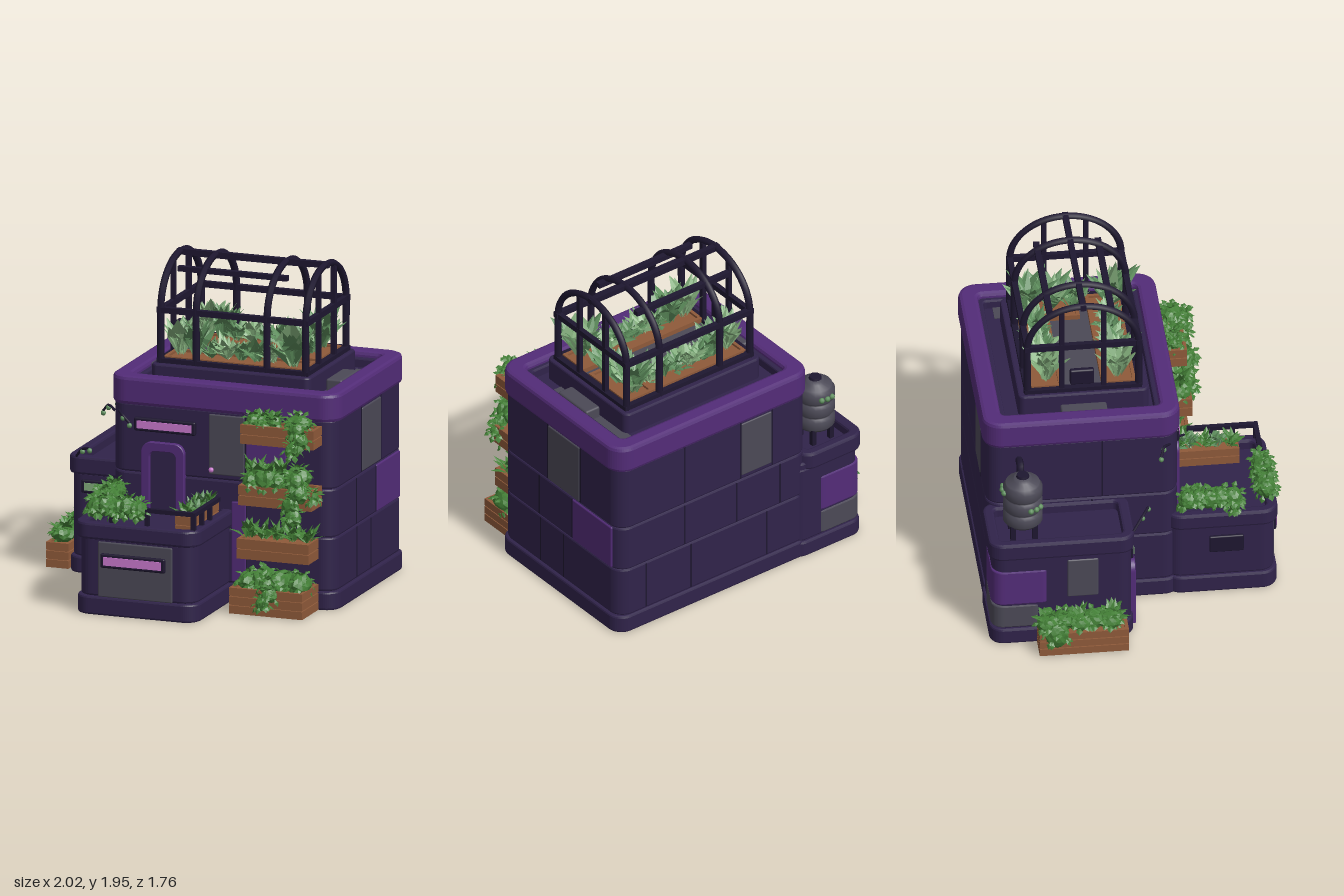
import * as THREE from 'three';
import { mergeGeometries } from 'three/addons/utils/BufferGeometryUtils.js';
import { RoundedBoxGeometry } from 'three/addons/geometries/RoundedBoxGeometry.js';

const mat = (name, color, extra = {}) => Object.assign(new THREE.MeshStandardMaterial({ color, ...extra }), { name });
const DS = { side: THREE.DoubleSide };
const wall = mat('dark violet wall', 0x30234a), trim = mat('purple trim', 0x532c78), frame = mat('ink frame', 0x1e1730);
const grey = mat('slate grey', 0x4b4956), wood = mat('planter wood', 0x8f5a3a), pink = mat('pink light', 0xcc7ad0);
const green = mat('leaf green', 0x437f36, DS), sage = mat('sage leaf', 0x5d8d5c, DS), pale = mat('pale leaf', 0x83ae7c, DS);

let seed = 7;
const rnd = (a = 0, b = 1) => { seed = (seed * 16807) % 2147483647; return a + (b - a) * seed / 2147483647; };

export function createModel() {
  const root = new THREE.Group();
  const add = (name, geo, m) => { const o = new THREE.Mesh(geo, m); o.name = name; root.add(o); return o; };

  // Box given by its limits, optionally rounded
  function box(name, m, x0, x1, y0, y1, z0, z1, r = 0) {
    const s = [x1 - x0, y1 - y0, z1 - z0];
    const g = r ? new RoundedBoxGeometry(...s, 2, r) : new THREE.BoxGeometry(...s);
    return add(name, g.translate((x0 + x1) / 2, (y0 + y1) / 2, (z0 + z1) / 2), m);
  }
  function roundRect(P, x0, x1, y0, y1, r) {
    const s = new P();
    s.moveTo(x0 + r, y0); s.lineTo(x1 - r, y0); s.absarc(x1 - r, y0 + r, r, -Math.PI / 2, 0);
    s.lineTo(x1, y1 - r); s.absarc(x1 - r, y1 - r, r, 0, Math.PI / 2);
    s.lineTo(x0 + r, y1); s.absarc(x0 + r, y1 - r, r, Math.PI / 2, Math.PI);
    s.lineTo(x0, y0 + r); s.absarc(x0 + r, y0 + r, r, Math.PI, Math.PI * 1.5);
    return s;
  }
  // Upright slab with rounded corners and bevelled rims; hole = wall width of an open ring
  function slab(name, m, x0, x1, y0, y1, z0, z1, r = 0.08, b = 0.012, hole = 0) {
    const s = roundRect(THREE.Shape, x0 + b, x1 - b, -z1 + b, -z0 - b, r);
    if (hole) s.holes.push(roundRect(THREE.Path, x0 + hole, x1 - hole, -z1 + hole, -z0 - hole, r * 0.6));
    const g = new THREE.ExtrudeGeometry(s, { depth: y1 - y0 - 2 * b, bevelThickness: b, bevelSize: b, bevelSegments: 2, curveSegments: 6 });
    return add(name, g.rotateX(-Math.PI / 2).translate(0, y0 + b, 0), m);
  }
  const tube = (name, m, pts, r) => add(name, new THREE.TubeGeometry(
    new THREE.CatmullRomCurve3(pts.map(p => new THREE.Vector3(...p))), pts.length * 5, r, 6), m);

  // ---- Main block: bevelled rows, seams and coloured panels
  slab('mainBase', wall, -0.42, 0.99, 0, 0.11, -0.86, 0.28);
  const rows = [[0.11, 0.43], [0.43, 0.72], [0.72, 1.13]];
  rows.forEach(([a, b]) => slab('mainWallRow', wall, -0.41, 0.975, a, b, -0.85, 0.27));
  slab('roofSlab', wall, -0.40, 0.97, 1.12, 1.2, -0.84, 0.26);
  slab('roofParapet', trim, -0.425, 0.995, 1.12, 1.29, -0.865, 0.285, 0.09, 0.022, 0.09);
  slab('innerCurb', wall, -0.345, 0.915, 1.15, 1.255, -0.785, 0.205, 0.06, 0.01, 0.05);
  const sideSeams = [[-0.10, -0.32], [-0.09, -0.40], [-0.17, -0.48]];
  const backSeams = [[0.78, 0.45, -0.1], [0.5, 0.12, -0.2], [0.5, 0.09, -0.14]];
  rows.forEach(([a, b], i) => {
    sideSeams[i].forEach(z => box('sideSeam', frame, 0.96, 0.977, a + 0.01, b - 0.01, z - 0.005, z + 0.005));
    backSeams[i].forEach(x => box('backSeam', frame, x - 0.005, x + 0.005, a + 0.01, b - 0.01, -0.852, -0.84));
    box('leftSeam', frame, -0.412, -0.4, a + 0.01, b - 0.01, -0.3 + i * 0.06, -0.29 + i * 0.06);
  });
  box('sideGreyPanel', grey, 0.96, 0.982, 0.73, 1.11, -0.475, -0.175, 0.009);
  box('sidePurplePanel', trim, 0.96, 0.982, 0.435, 0.715, -0.78, -0.405, 0.009);
  box('backGreyPanel', grey, -0.135, 0.085, 0.75, 1.11, -0.857, -0.84, 0.007);
  box('frontGreyPanel', grey, 0.2, 0.42, 0.75, 1.11, 0.26, 0.279, 0.008);
  box('frontPurplePanel', trim, 0.43, 0.68, 0.73, 1.0, 0.26, 0.279, 0.008);
  box('frontPurpleStrip', trim, 0.34, 0.43, 0.12, 0.6, 0.26, 0.279, 0.008);
  box('frontSeam', frame, 0.425, 0.432, 0.11, 1.11, 0.26, 0.274);

  // ---- Left annex
  slab('annexBase', wall, -0.8, -0.3, 0, 0.1, -0.87, -0.03, 0.07);
  slab('annexWall', wall, -0.785, -0.3, 0.1, 0.6, -0.855, -0.04, 0.07);
  slab('annexRoof', wall, -0.78, -0.3, 0.58, 0.64, -0.85, -0.05, 0.07);
  slab('annexParapet', wall, -0.805, -0.36, 0.59, 0.7, -0.875, -0.025, 0.07, 0.015, 0.05);
  slab('annexGreyPatch', grey, -0.792, -0.45, 0.11, 0.26, -0.862, -0.55, 0.065, 0.008);
  slab('annexPurplePatch', trim, -0.792, -0.45, 0.27, 0.5, -0.862, -0.5, 0.065, 0.008);
  box('annexSideGrey', grey, -0.792, -0.77, 0.3, 0.56, -0.42, -0.24, 0.008);

  // ---- Front annex with balcony
  slab('balconyBase', wall, -0.42, 0.34, 0, 0.11, 0.2, 0.85, 0.08);
  slab('balconyWall', wall, -0.405, 0.325, 0.11, 0.46, 0.2, 0.835, 0.08);
  slab('balconyFloor', wall, -0.4, 0.32, 0.44, 0.49, 0.2, 0.83, 0.08);
  slab('balconyParapet', wall, -0.425, 0.345, 0.45, 0.55, 0.2, 0.855, 0.08, 0.015, 0.05);
  box('balconyGreyPanel', grey, -0.27, 0.19, 0.11, 0.44, 0.82, 0.845, 0.008);
  box('leftWindowPlate', frame, -0.425, -0.4, 0.28, 0.39, 0.45, 0.65, 0.008);
  for (const z of [0.8, 0.67, 0.54]) box('railPost', frame, 0.295, 0.32, 0.54, 0.645, z - 0.012, z + 0.012);
  for (const x of [-0.2, 0.02]) box('railPost', frame, x - 0.012, x + 0.012, 0.54, 0.645, 0.788, 0.812);
  box('sideRail', frame, 0.293, 0.322, 0.63, 0.655, 0.4, 0.815);
  box('frontRail', frame, -0.22, 0.322, 0.63, 0.655, 0.787, 0.815);

  // ---- Door frames and light strips
  function door(x0, x1, y0, y1, z) {
    const w = 0.045, s = roundRect(THREE.Shape, x0, x1, y0 - 0.1, y1, 0.06);
    s.holes.push(roundRect(THREE.Path, x0 + w, x1 - w, y0 - 0.08, y1 - w, 0.04));
    const clipY = g => { const p = g.attributes.position; for (let i = 0; i < p.count; i++) p.setY(i, Math.max(p.getY(i), y0)); return g; };
    add('doorFrame', clipY(new THREE.ExtrudeGeometry(s, { depth: 0.03, bevelSize: 0.004, bevelThickness: 0.004, bevelSegments: 1 })).translate(0, 0, z), trim);
    box('doorLeaf', wall, x0 + w, x1 - w, y0, y1 - w, z, z + 0.012);
  }
  door(-0.21, 0.05, 0.48, 0.91, 0.265);
  door(-0.69, -0.43, 0.01, 0.43, -0.045);
  function strip(m, x0, x1, y0, y1, z) {
    box('lightHousing', frame, x0 - 0.02, x1 + 0.02, y0 - 0.018, y1 + 0.018, z - 0.03, z + 0.01, 0.01);
    box('lightStrip', m, x0, x1, y0, y1, z + 0.008, z + 0.016);
  }
  strip(pink, -0.24, 0.1, 0.99, 1.035, 0.283);
  strip(pink, -0.23, 0.13, 0.305, 0.355, 0.85);
  strip(pale, -0.69, -0.45, 0.5, 0.545, -0.035);
  add('doorLamp', new THREE.SphereGeometry(0.016, 8, 6).translate(0.22, 0.78, 0.29), pink);

  // ---- Water tank with ribs, pipe and hanging lights
  const prof = [[0, 0.73], [0.1, 0.73]];
  for (let i = 0; i < 3; i++) prof.push([0.1, 0.735 + i * 0.09], [0.116, 0.75 + i * 0.09], [0.116, 0.8 + i * 0.09], [0.1, 0.815 + i * 0.09]);
  prof.push([0.1, 1.01], [0.055, 1.025], [0.05, 1.045], [0, 1.045]);
  add('waterTank', new THREE.LatheGeometry(prof.map(p => new THREE.Vector2(...p)), 20).translate(-0.6, 0, -0.66), grey);
  add('tankCap', new THREE.CylinderGeometry(0.035, 0.04, 0.02, 12).translate(-0.6, 1.05, -0.66), frame);
  for (let i = 0; i < 4; i++) {
    const a = Math.PI * (i / 2 + 0.25), x = -0.6 + 0.09 * Math.cos(a), z = -0.66 + 0.09 * Math.sin(a);
    box('tankLeg', frame, x - 0.015, x + 0.015, 0.63, 0.75, z - 0.015, z + 0.015);
  }
  tube('tankPipe', frame, [[-0.5, 0.96, -0.66], [-0.47, 1.03, -0.66], [-0.4, 1.03, -0.66]], 0.022);
  for (let i = 0; i < 9; i++) {
    const a = i * 2.2;
    add('tankBead', new THREE.SphereGeometry(0.018, 8, 6).translate(-0.6 + 0.118 * Math.cos(a), 0.78 + (i % 3) * 0.09, -0.66 + 0.118 * Math.sin(a)), sage);
  }
  for (const p of [[[-0.74, 0.7, -0.03], [-0.68, 0.76, 0.03], [-0.62, 0.78, 0.07]], [[-0.4, 1.06, 0.22], [-0.46, 1.08, 0.18], [-0.5, 1.04, 0.16]], [[-0.36, 1.08, 0.27], [-0.32, 1.06, 0.31], [-0.28, 1.02, 0.31]]]) {
    tube('lampArm', frame, p, 0.008);
    for (const q of p.slice(1)) add('lampBulb', new THREE.SphereGeometry(0.016, 8, 6).translate(q[0], q[1] - 0.015, q[2]), sage);
  }

  // ---- Greenhouse on the roof
  const zc = -0.26, ry = 0.28, rz = 0.325, ys = 1.645;
  slab('greenhousePlinth', wall, -0.225, 0.765, 1.19, 1.335, -0.64, 0.12, 0.03, 0.01);
  box('greenhouseFloor', grey, -0.17, 0.71, 1.33, 1.34, -0.58, 0.06);
  [-0.18, 0.04, 0.48, 0.72].forEach((x, i) => {
    const pts = [[x, 1.33, zc + rz], [x, 1.5, zc + rz]];
    for (let k = 0; k <= 12; k++) pts.push([x, ys + ry * Math.sin(k * Math.PI / 12), zc + rz * Math.cos(k * Math.PI / 12)]);
    pts.push([x, 1.5, zc - rz], [x, 1.33, zc - rz]);
    tube('archRib', frame, pts, 0.021);
    if (i % 3 === 0) {
      for (const z of [-0.14, -0.385]) box('endMullion', frame, x - 0.014, x + 0.014, 1.33, 1.89, z - 0.014, z + 0.014);
      box('endCrossbar', frame, x - 0.015, x + 0.015, ys - 0.015, ys + 0.02, zc - rz, zc + rz);
    }
  });
  for (const [y, z] of [[1.345, zc + rz], [1.345, zc - rz], [1.65, zc + rz], [1.65, zc - rz], [1.922, zc]])
    box('longBar', frame, -0.2, 0.74, y - 0.017, y + 0.017, z - 0.017, z + 0.017);
  for (const x of [-0.18, 0.72]) box('endSill', frame, x - 0.02, x + 0.02, 1.33, 1.36, zc - rz, zc + rz);
  for (const z of [-0.45, -0.09]) box('growLamp', frame, -0.13, 0.55, 1.85, 1.88, z - 0.018, z + 0.018);
  box('endFan', frame, -0.225, -0.19, 1.4, 1.5, -0.34, -0.2, 0.01);
  box('rightVent', grey, 0.77, 0.87, 1.19, 1.275, -0.4, -0.13, 0.012);
  box('leftVent', grey, -0.32, -0.23, 1.19, 1.275, -0.4, -0.13, 0.012);
  box('roofPatch', grey, 0.75, 0.865, 1.195, 1.206, -0.67, -0.02);

  // ---- Planter crates: plank sides around a soil core
  function crate(x0, x1, y0, y1, z0, z1, planks = 2) {
    box('crateSoil', wood, x0 + 0.012, x1 - 0.012, y0, y1 - 0.02, z0 + 0.012, z1 - 0.012);
    const h = (y1 - y0) / planks;
    for (let i = 0; i < planks; i++) {
      const a = y0 + i * h, b = a + h - 0.006;
      for (const z of [z0, z1 - 0.02]) box('cratePlank', wood, x0, x1, a, b, z, z + 0.02);
      for (const x of [x0, x1 - 0.02]) box('crateEnd', wood, x, x + 0.02, a, b, z0, z1);
    }
  }
  // ---- Leaves: folded diamonds gathered into tufts, and leafy mounds
  function leaf(L, W, x, y, z, az, tilt) {
    const b = [0, 0, 0], l = [-W, L * 0.55, 0.2 * W], r = [W, L * 0.55, 0.2 * W], m = [0, L * 0.5, -0.25 * W], t = [0, L, L * 0.2];
    const g = new THREE.BufferGeometry();
    g.setAttribute('position', new THREE.Float32BufferAttribute([b, m, l, b, r, m, m, t, l, m, r, t].flat(), 3));
    g.rotateX(tilt).rotateY(az).translate(x, y, z).computeVertexNormals();
    return g;
  }
  function tuft(m, x, y, z, h, n = 14, spread = 1) {
    const gs = [];
    for (let i = 0; i < n; i++) gs.push(leaf(h * rnd(0.75, 1.1), h * rnd(0.14, 0.24), x + rnd(-0.02, 0.02), y, z + rnd(-0.02, 0.02), i * 2.4 + rnd(), rnd(0.1, 0.95) * spread));
    add('leafTuft', mergeGeometries(gs), m);
  }
  function mound(m, x, y, z, rx, ry2, rz2 = rx) {
    const g = new THREE.IcosahedronGeometry(0.88, 2), p = g.attributes.position;
    g.deleteAttribute('uv');
    for (let i = 0; i < p.count; i++) {
      const k = 1 + 0.12 * Math.sin(7 * p.getX(i) + x * 40) * Math.cos(6 * p.getZ(i) + 5 * p.getY(i));
      p.setXYZ(i, p.getX(i) * k, p.getY(i) * k, p.getZ(i) * k);
    }
    const gs = [g.scale(rx, ry2, rz2).translate(x, y, z)];
    g.computeVertexNormals();
    for (let i = 0; i < 22; i++) {
      const az = i * 2.4, t = rnd(0.1, 2.2), s = Math.sin(t) * 0.75;
      gs.push(leaf(0.05, 0.02, x + rx * s * Math.sin(az), y + ry2 * 0.75 * Math.cos(t), z + rz2 * s * Math.cos(az), az, t + 0.4));
    }
    add('leafMound', mergeGeometries(gs), m);
  }
  const trail = (x, z, y0, y1, r) => { for (let y = y0, i = 0; y > y1; y -= r * 1.1, i++) mound(green, x + 0.03 * Math.sin(i * 2), y, z, r * (1 - 0.05 * i), r, r * 0.8); };

  // Front wall planters
  crate(0.43, 0.885, 0.005, 0.165, 0.285, 0.55, 3);
  crate(0.44, 0.885, 0.31, 0.435, 0.285, 0.45);
  crate(0.45, 0.905, 0.63, 0.755, 0.285, 0.45);
  crate(0.45, 0.905, 0.99, 1.11, 0.285, 0.42);
  for (const [x, h] of [[0.51, 0.06], [0.6, 0.1], [0.71, 0.09], [0.82, 0.08]]) mound(green, x, 0.18, 0.42, 0.075, h, 0.11);
  trail(0.66, 0.55, 0.19, 0.05, 0.05);
  for (let i = 0; i < 5; i++) tuft(green, 0.49 + i * 0.088, 0.42, 0.37, 0.12, 16);
  for (const [x, r] of [[0.51, 0.06], [0.6, 0.09], [0.68, 0.07]]) { mound(green, x, 0.77, 0.38, r, r, 0.08); tuft(green, x, 0.77, 0.37, 0.16, 8, 0.6); }
  mound(green, 0.79, 0.81, 0.38, 0.09, 0.07); trail(0.8, 0.46, 0.8, 0.56, 0.065); mound(green, 0.9, 0.71, 0.42, 0.04, 0.04);
  for (const x of [0.51, 0.57, 0.63]) { mound(green, x, 1.12, 0.35, 0.05, 0.045); tuft(green, x, 1.11, 0.35, 0.09, 10); }
  mound(green, 0.79, 1.13, 0.36, 0.09, 0.05, 0.07); trail(0.8, 0.43, 1.1, 0.97, 0.055);

  // Left ground planter
  crate(-0.95, -0.81, 0.005, 0.16, -0.6, -0.08, 3);
  for (let i = 0; i < 5; i++) { mound(green, -0.88 + 0.02 * (i % 2), 0.19, -0.54 + i * 0.09, 0.08, 0.06); if (i % 2 === 0) tuft(green, -0.87, 0.18, -0.54 + i * 0.09, 0.13, 12); }
  mound(green, -0.945, 0.14, -0.5, 0.04, 0.09, 0.08);

  // Balcony greenery
  for (let i = 0; i < 5; i++) mound(green, -0.3 + i * 0.065, 0.63 + 0.015 * (i % 2), 0.79, 0.065, 0.07);
  for (let i = 0; i < 5; i++) mound(green, -0.355, 0.62, 0.33 + i * 0.065, 0.065, 0.07);
  mound(green, -0.39, 0.58, 0.6, 0.035, 0.05);
  crate(0.15, 0.27, 0.49, 0.6, 0.29, 0.69);
  for (let i = 0; i < 5; i++) tuft(i % 2 ? sage : green, 0.21, 0.58, 0.34 + i * 0.075, 0.11, 14);

  // Greenhouse crops
  crate(-0.17, 0.5, 1.335, 1.375, -0.56, -0.38, 1);
  crate(-0.17, 0.7, 1.335, 1.375, -0.15, 0.05, 1);
  crate(0.5, 0.7, 1.335, 1.375, -0.56, -0.2, 1);
  for (const z of [-0.47, -0.05]) for (let i = 0; i < 7; i++) {
    const h = i < 2 ? 0.24 : 0.13 + 0.03 * (i % 2);
    tuft(i % 3 ? sage : pale, -0.1 + i * 0.095, 1.36, z, h, 18, i < 2 ? 0.5 : 1);
  }
  for (const [z, h] of [[-0.5, 0.27], [-0.36, 0.24], [-0.24, 0.18], [-0.02, 0.27]]) { tuft(sage, 0.61, 1.36, z, h, 16, 0.65); tuft(pale, 0.6, 1.37, z, h * 0.8, 6, 0.8); }
  for (const [x, a] of [[0.64, -0.5], [0.6, 0.3]]) add('broadLeaf', leaf(0.28, 0.09, x, 1.36, 0.0, a, -0.1), pale);
  return root;
}
